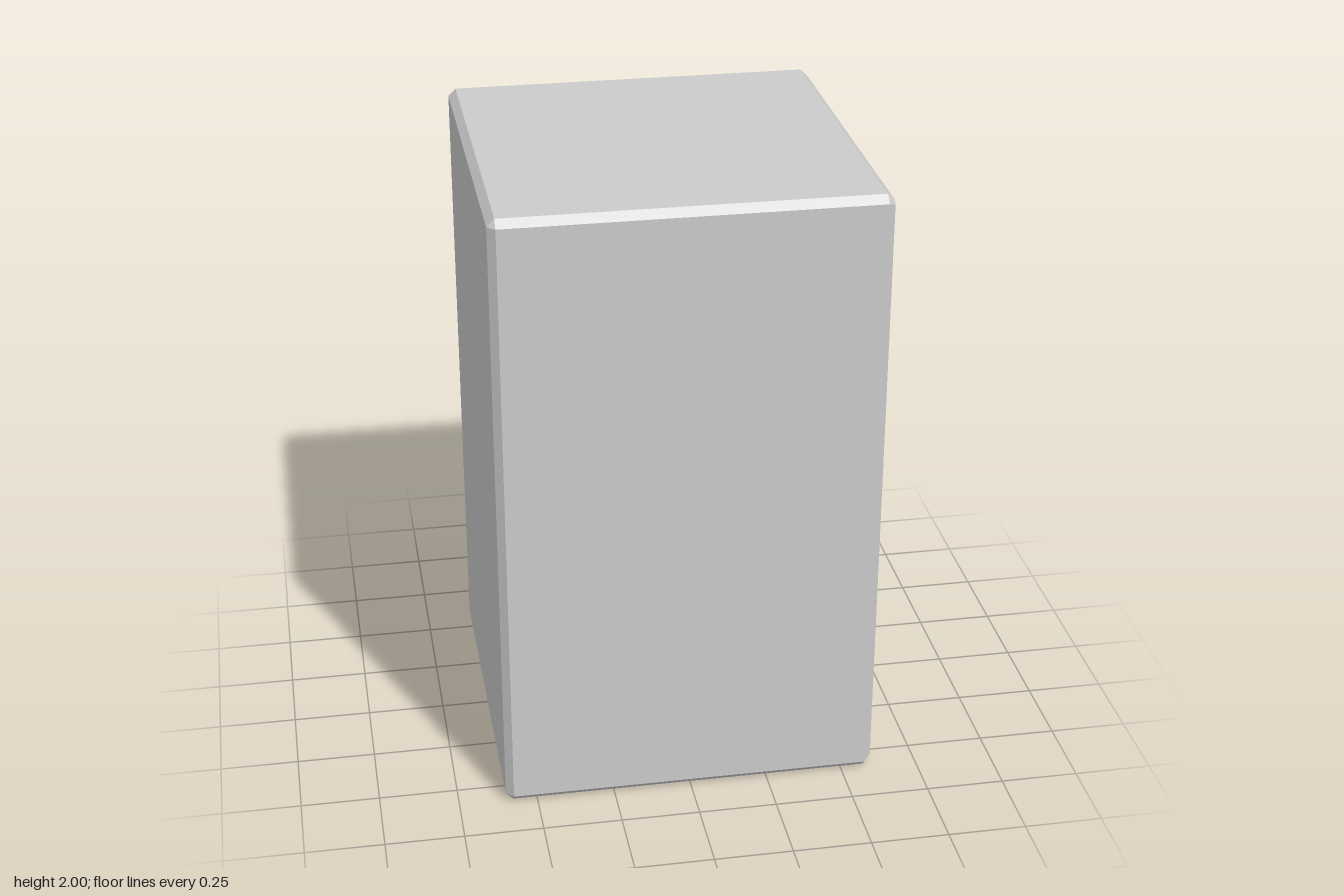
import * as THREE from 'three';

const H = 1.0, W = 0.6, C = 0.024; // half height, half width, edge chamfer

// Cut-corner rectangle at a given x, inset from the outer size
function section([x, inset, cut]) {
  const y = H - inset, z = W - inset;
  return [
    [y, z - cut], [y - cut, z], [cut - y, z], [-y, z - cut],
    [-y, cut - z], [cut - y, -z], [y - cut, -z], [y, cut - z],
  ].map(([py, pz]) => new THREE.Vector3(x, py + H, pz));
}

const centre = (x) => Array.from({ length: 8 }, () => new THREE.Vector3(x, H, 0));

// Joins successive rings into a faceted skin, skipping collapsed triangles
function loft(name, rings, material) {
  const pos = [];
  const tri = (a, b, c) => {
    if (new THREE.Triangle(a, b, c).getArea() < 1e-9) return;
    for (const p of [a, b, c]) pos.push(p.x, p.y, p.z);
  };
  for (let i = 0; i < rings.length - 1; i++) {
    const a = rings[i], b = rings[i + 1];
    for (let j = 0; j < 8; j++) {
      const k = (j + 1) % 8;
      tri(a[j], a[k], b[j]);
      tri(a[k], b[k], b[j]);
    }
  }
  const geo = new THREE.BufferGeometry();
  geo.setAttribute('position', new THREE.Float32BufferAttribute(pos, 3));
  geo.computeVertexNormals();
  const mesh = new THREE.Mesh(geo, material);
  mesh.name = name;
  return mesh;
}

export function createModel() {
  const group = new THREE.Group();
  group.name = 'cabinet';
  const grey = new THREE.MeshStandardMaterial({ color: 0xcccccc, flatShading: true });

  const back = [-W, C, 0], outerBack = [-W + C, 0, C];
  const outerFront = [W - C, 0, C], rimOuter = [W, C, 0.012];
  const rimInner = [W, 0.05, 0.025], recess = [W - 0.025, 0.07, 0.025];

  // Chamfered body with a closed far side
  group.add(loft('cabinetBody',
    [centre(-W), ...[back, outerBack, outerFront].map(section)], grey));

  // Raised frame: outer chamfer, flat rim, sloped inner wall
  group.add(loft('frameRim',
    [outerFront, rimOuter, rimInner, recess].map(section), grey));

  // Recessed panel inside the frame
  group.add(loft('recessedPanel', [section(recess), centre(recess[0])], grey));

  return group;
}
